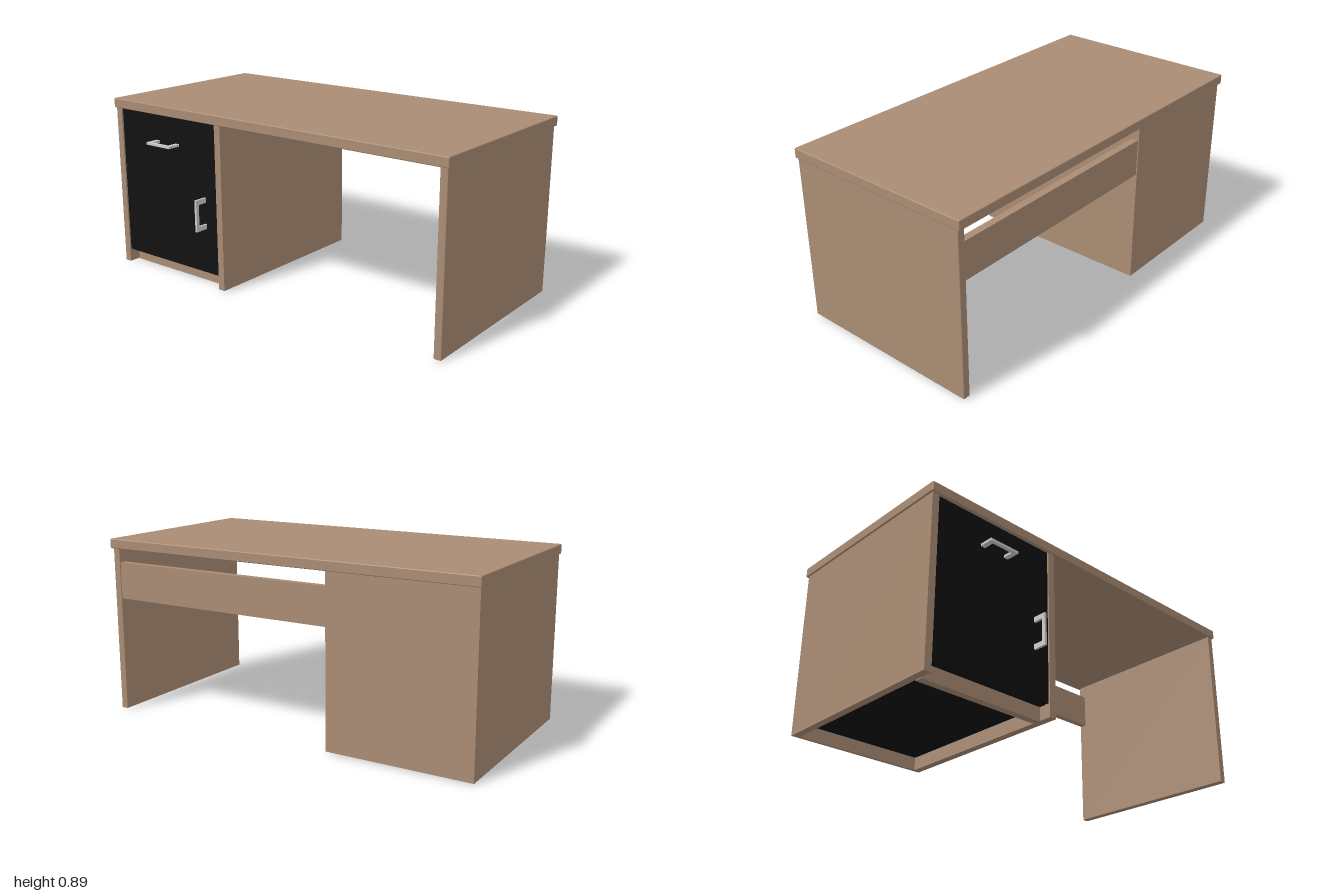
import * as THREE from 'three';
import { RoundedBoxGeometry } from 'three/addons/geometries/RoundedBoxGeometry.js';

const wood = new THREE.MeshStandardMaterial({ color: 0xa98c74 });
const black = new THREE.MeshStandardMaterial({ color: 0x111111 });
const metal = new THREE.MeshStandardMaterial({ color: 0xcccccc });

// Box given by its min and max on each axis; an optional radius softens the edges
function panel(name, [x0, x1], [y0, y1], [z0, z1], material = wood, radius = 0) {
  const size = [x1 - x0, y1 - y0, z1 - z0];
  const geometry = radius
    ? new RoundedBoxGeometry(...size, 2, radius)
    : new THREE.BoxGeometry(...size);
  const mesh = new THREE.Mesh(geometry, material);
  mesh.name = name;
  mesh.position.set((x0 + x1) / 2, (y0 + y1) / 2, (z0 + z1) / 2);
  return mesh;
}

// U-shaped pull: flat bracket outline in x/y, feet at y = 0, extruded to a thin strip
function pull(name) {
  const half = 0.081, reach = 0.072, foot = 0.025, bar = 0.018, width = 0.012;
  const shape = new THREE.Shape([
    [-half, 0], [-half + foot, 0], [-half + foot, reach - bar], [half - foot, reach - bar],
    [half - foot, 0], [half, 0], [half, reach], [-half, reach],
  ].map(([x, y]) => new THREE.Vector2(x, y)));
  const geometry = new THREE.ExtrudeGeometry(shape, { depth: width, bevelEnabled: false });
  geometry.translate(0, 0, -width / 2);
  geometry.rotateX(Math.PI / 2); // reach now points to +z
  const mesh = new THREE.Mesh(geometry, metal);
  mesh.name = name;
  return mesh;
}

export function createModel() {
  const desk = new THREE.Group();
  desk.name = 'desk';
  const height = [0.004, 0.846];
  const depth = [-0.51, 0.465];

  // Top and far leg
  desk.add(panel('desktop', [-1, 1], [0.846, 0.895], [-0.525, 0.475], wood, 0.005));
  desk.add(panel('legPanel', [0.955, 0.992], height, depth, wood, 0.003));

  // Modesty panel between cabinet and leg
  desk.add(panel('modestyPanel', [-0.262, 0.957], [0.59, 0.775], [-0.505, -0.47]));

  // Cabinet shell
  const cabinet = new THREE.Group();
  cabinet.name = 'cabinet';
  const inner = [-0.956, -0.297];
  cabinet.add(panel('cabinetOuterSide', [-0.992, inner[0]], height, depth));
  cabinet.add(panel('cabinetInnerSide', [inner[1], -0.26], height, depth));
  cabinet.add(panel('cabinetBack', inner, height, [-0.51, -0.495]));
  cabinet.add(panel('cabinetFloor', inner, [0.07, 0.1], [-0.495, 0.435], black));
  cabinet.add(panel('kickPlate', inner, [0, 0.07], [0.365, 0.402]));
  cabinet.add(panel('cabinetRail', inner, [0.52, 0.55], [0.38, 0.435], metal));

  // Drawer and door fronts with their pulls
  const front = [0.435, 0.457];
  cabinet.add(panel('drawerFront', inner, [0.539, 0.846], front, black));
  cabinet.add(panel('doorFront', inner, [0.072, 0.535], front, black));
  const drawerPull = pull('drawerPull');
  drawerPull.position.set(-0.629, 0.706, 0.454);
  const doorPull = pull('doorPull');
  doorPull.rotation.z = Math.PI / 2;
  doorPull.position.set(-0.38, 0.386, 0.454);
  cabinet.add(drawerPull, doorPull);

  desk.add(cabinet);
  return desk;
}
